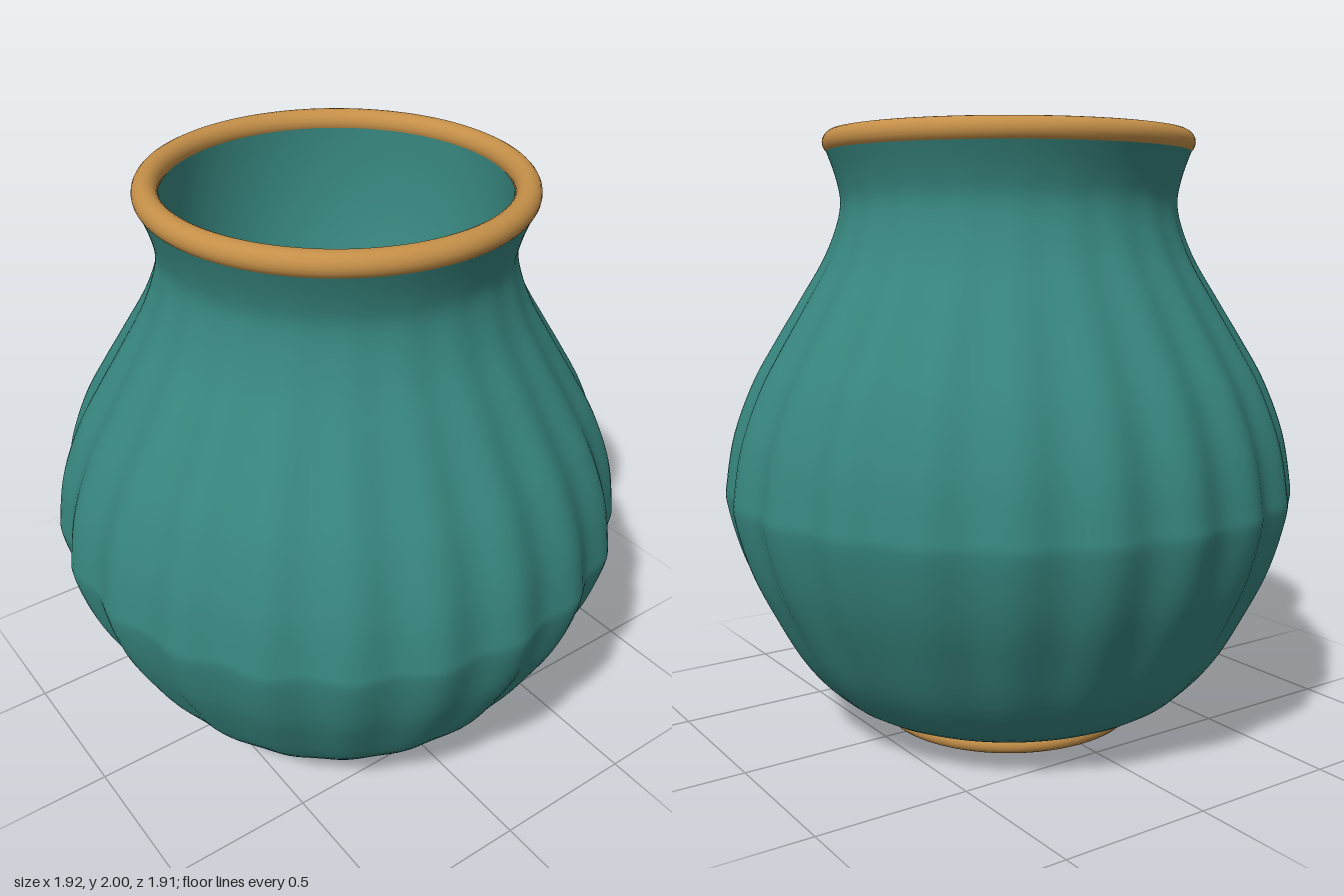
import * as THREE from 'three';
import { mergeVertices } from 'three/addons/utils/BufferGeometryUtils.js';

const LOBES = 22;
const teal = new THREE.MeshStandardMaterial({ color: 0x37857e });
teal.name = 'tealGlaze';
const gold = new THREE.MeshStandardMaterial({ color: 0xc48f48 });
gold.name = 'goldTrim';

const toVectors = (list) => list.map(([r, y]) => new THREE.Vector2(r, y));

function addMesh(group, name, geometry, material) {
  const mesh = new THREE.Mesh(geometry, material);
  mesh.name = name;
  group.add(mesh);
  return mesh;
}

// Outer wall: a lathe whose radius ripples into soft vertical lobes.
function flutedWall() {
  const profile = new THREE.SplineCurve(toVectors([
    [0.44, 0.05], [0.6, 0.12], [0.73, 0.255], [0.836, 0.44], [0.91, 0.6],
    [0.957, 0.77], [0.956, 0.85], [0.926, 1.01], [0.86, 1.18], [0.78, 1.32],
    [0.7, 1.45], [0.612, 1.6], [0.564, 1.74], [0.573, 1.84], [0.615, 1.96],
  ])).getPoints(70);
  let geometry = new THREE.LatheGeometry(profile, LOBES * 10);
  const pos = geometry.attributes.position;
  for (let i = 0; i < pos.count; i++) {
    const x = pos.getX(i), y = pos.getY(i), z = pos.getZ(i);
    // Lobes fade out toward the foot and the neck.
    const t = THREE.MathUtils.clamp((y - 0.05) / 1.8, 0, 1);
    const ripple = 0.015 * Math.sin(Math.PI * t);
    const k = 1 + ripple * (Math.cos(LOBES * Math.atan2(z, x)) - 1);
    pos.setXYZ(i, x * k, y, z * k);
  }
  // Weld the seam so that the shading runs smoothly around.
  geometry.deleteAttribute('normal');
  geometry.deleteAttribute('uv');
  geometry = mergeVertices(geometry, 1e-5);
  geometry.computeVertexNormals();
  return geometry;
}

// Rounded hollow, running from the mouth down to its centre.
function hollow() {
  const points = [];
  for (let i = 0; i <= 32; i++) {
    const a = (i / 32) * Math.PI / 2;
    points.push([0.54 * Math.cos(a), 1.965 - 0.9 * Math.sin(a)]);
  }
  points[32][0] = 0;
  return new THREE.LatheGeometry(toVectors(points), 96);
}

function ring(group, name, radius, tube, y) {
  const mesh = addMesh(group, name, new THREE.TorusGeometry(radius, tube, 20, 128), gold);
  mesh.rotation.x = Math.PI / 2;
  mesh.position.y = y;
}

export function createModel() {
  const group = new THREE.Group();
  group.name = 'flutedVase';
  addMesh(group, 'body', flutedWall(), teal);
  addMesh(group, 'interior', hollow(), teal);
  addMesh(group, 'base', new THREE.LatheGeometry(toVectors([[0, 0.05], [0.44, 0.05]]), 96), teal);
  ring(group, 'rim', 0.577, 0.04, 1.96);
  ring(group, 'foot', 0.413, 0.03, 0.03);
  return group;
}
